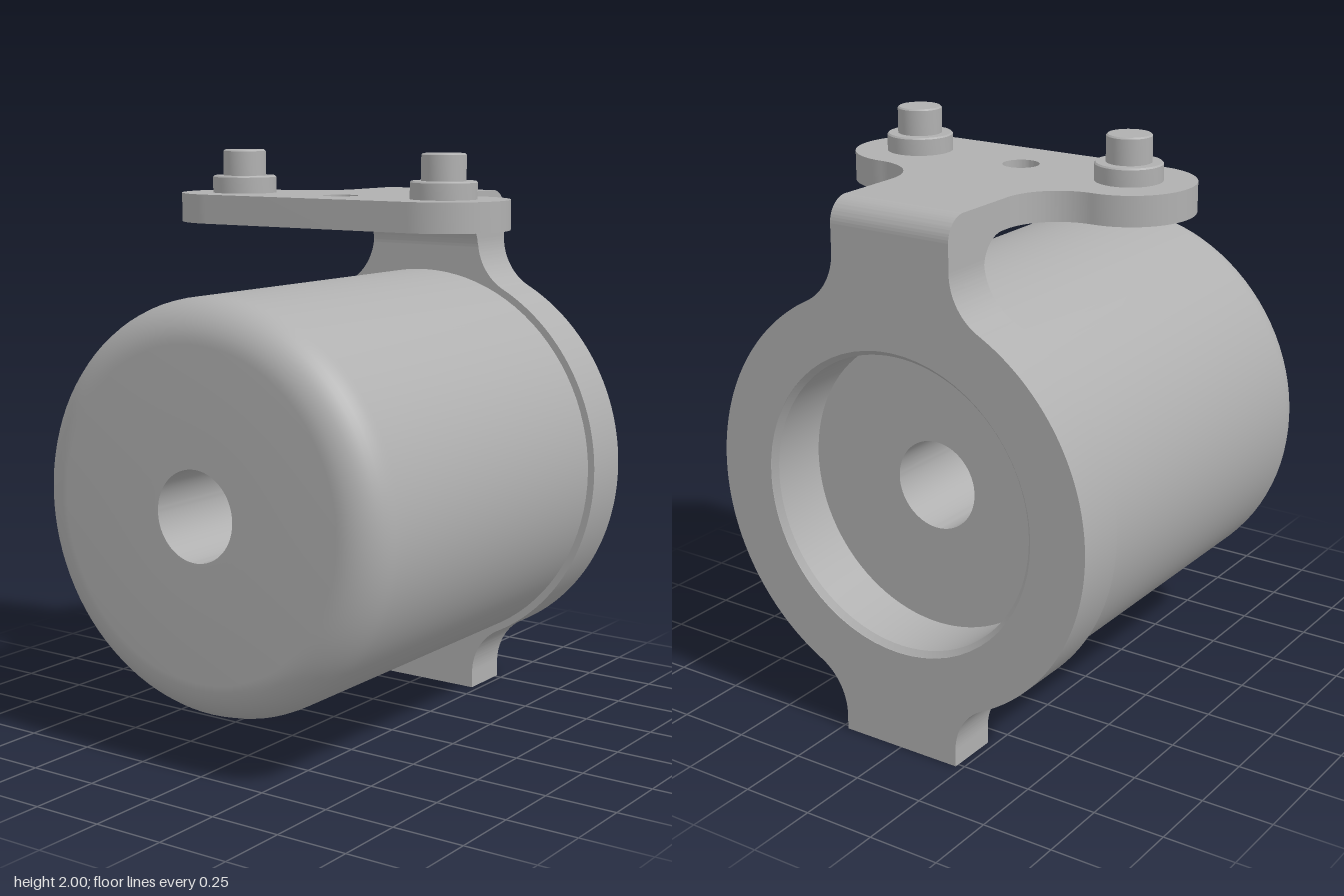
import * as THREE from 'three';
import { toCreasedNormals } from 'three/addons/utils/BufferGeometryUtils.js';

const PI = Math.PI;
const metal = new THREE.MeshStandardMaterial({ color: 0xb0b0b0 });
metal.name = 'grey metal';

const CY = 0.87;      // height of the housing axis
const ARM = 0.225;    // half width of the bracket arm and foot
const BACK = -0.765;  // rear face of the bracket
const THICK = 0.185;  // bracket plate thickness

function add(group, name, geometry) {
  const mesh = new THREE.Mesh(toCreasedNormals(geometry, 0.5), metal);
  mesh.name = name;
  group.add(mesh);
  return mesh;
}

function hole(shape, x, y, r) {
  const path = new THREE.Path();
  path.absarc(x, y, r, 0, 2 * PI, true);
  shape.holes.push(path);
}

function extrude(shape, depth) {
  return new THREE.ExtrudeGeometry(shape, { depth, bevelEnabled: false, curveSegments: 32 });
}

// Extrudes a plan drawn in (x, -z) upward from height y
function slab(shape, y, height) {
  return extrude(shape, height).rotateX(-PI / 2).translate(0, y, 0);
}

// Round housing with rounded front edge, through hole and stepped rear bore
function housing() {
  const p = [
    [0.152, -0.54], [0.5, -0.54], [0.5, -0.745], [0.52, BACK],
    [0.52, -0.58], [0.69, -0.58],
  ];
  for (let i = 0; i <= 10; i++) {
    const a = (i / 10) * PI / 2;
    p.push([0.55 + 0.14 * Math.cos(a), 0.625 + 0.14 * Math.sin(a)]);
  }
  p.push([0.152, 0.765], [0.152, -0.54]);
  const g = new THREE.LatheGeometry(p.map(([r, z]) => new THREE.Vector2(r, z)), 96);
  g.rotateX(PI / 2).translate(0, CY, 0);
  // Narrow flat along the underside
  const pos = g.attributes.position;
  for (let i = 0; i < pos.count; i++) pos.setY(i, Math.max(pos.getY(i), 0.195));
  return g;
}

// Ring plate blending into the arm above and the foot below
function ringPlate() {
  const f = 0.2, R = 0.715, cx = ARM + f;
  const dy = Math.sqrt((R + f) ** 2 - cx ** 2);
  const a = Math.atan2(dy, cx);
  const s = new THREE.Shape();
  s.moveTo(-ARM, CY - dy);
  s.lineTo(ARM, CY - dy);
  s.absarc(cx, CY - dy, f, PI, PI - a, true);
  s.absarc(0, CY, R, -a, a, false);
  s.absarc(cx, CY + dy, f, PI + a, PI, true);
  s.lineTo(-ARM, CY + dy);
  s.absarc(-cx, CY + dy, f, 0, -a, true);
  s.absarc(0, CY, R, PI - a, PI + a, false);
  s.absarc(-cx, CY - dy, f, a, 0, true);
  hole(s, 0, CY, 0.518);
  return extrude(s, THICK).translate(0, 0, BACK);
}

// Foot block with two screw holes in its base
function foot() {
  const s = new THREE.Shape();
  s.moveTo(-ARM, 0.58);
  s.lineTo(ARM, 0.58);
  s.lineTo(ARM, -BACK);
  s.lineTo(-ARM, -BACK);
  s.closePath();
  for (const side of [-1, 1]) hole(s, side * 0.145, 0.672, 0.03);
  return slab(s, 0, 0.062);
}

// Bent arm, drawn in (z, y) and swept across x
function bentArm() {
  const s = new THREE.Shape();
  s.moveTo(-0.58, 1.65);
  s.lineTo(BACK, 1.65);
  s.lineTo(BACK, 1.77);
  s.absarc(BACK + 0.08, 1.77, 0.08, PI, PI / 2, true);
  s.lineTo(-0.45, 1.85);
  s.lineTo(-0.45, 1.75);
  s.absarc(-0.48, 1.65, 0.1, PI / 2, PI, false);
  return extrude(s, 2 * ARM).rotateY(-PI / 2).translate(ARM, 0, 0);
}

// Mounting plate with rounded ears and concave blends to the arm
function earPlate() {
  const ex = 0.415, r = 0.222, c = 0.04, f = ex - ARM;
  const fy = c + r + f;
  const s = new THREE.Shape();
  s.moveTo(-ex, c - r);
  s.lineTo(ex, c - r);
  s.absarc(ex, c, r, -PI / 2, PI / 2, false);
  s.absarc(ex, fy, f, 1.5 * PI, PI, true);
  s.lineTo(-ARM, fy);
  s.absarc(-ex, fy, f, 0, -PI / 2, true);
  s.absarc(-ex, c, r, PI / 2, 1.5 * PI, false);
  hole(s, 0, c, 0.062);
  return slab(s, 1.75, 0.1);
}

// Collar and pin as one turned part
function stud() {
  const p = [
    [0, 0], [0.112, 0], [0.112, 0.055], [0.107, 0.06],
    [0.075, 0.06], [0.075, 0.145], [0.07, 0.15], [0, 0.15],
  ];
  return new THREE.LatheGeometry(p.map(([r, y]) => new THREE.Vector2(r, y)), 40);
}

export function createModel() {
  const model = new THREE.Group();
  model.name = 'bracketedHousing';
  add(model, 'housing', housing());

  const bracket = new THREE.Group();
  bracket.name = 'bracket';
  model.add(bracket);
  add(bracket, 'ringPlate', ringPlate());
  add(bracket, 'foot', foot());
  add(bracket, 'bentArm', bentArm());
  add(bracket, 'earPlate', earPlate());

  for (const side of [-1, 1]) {
    const name = side > 0 ? 'leftStud' : 'rightStud';
    add(model, name, stud()).position.set(side * 0.415, 1.85, -0.04);
  }
  return model;
}
